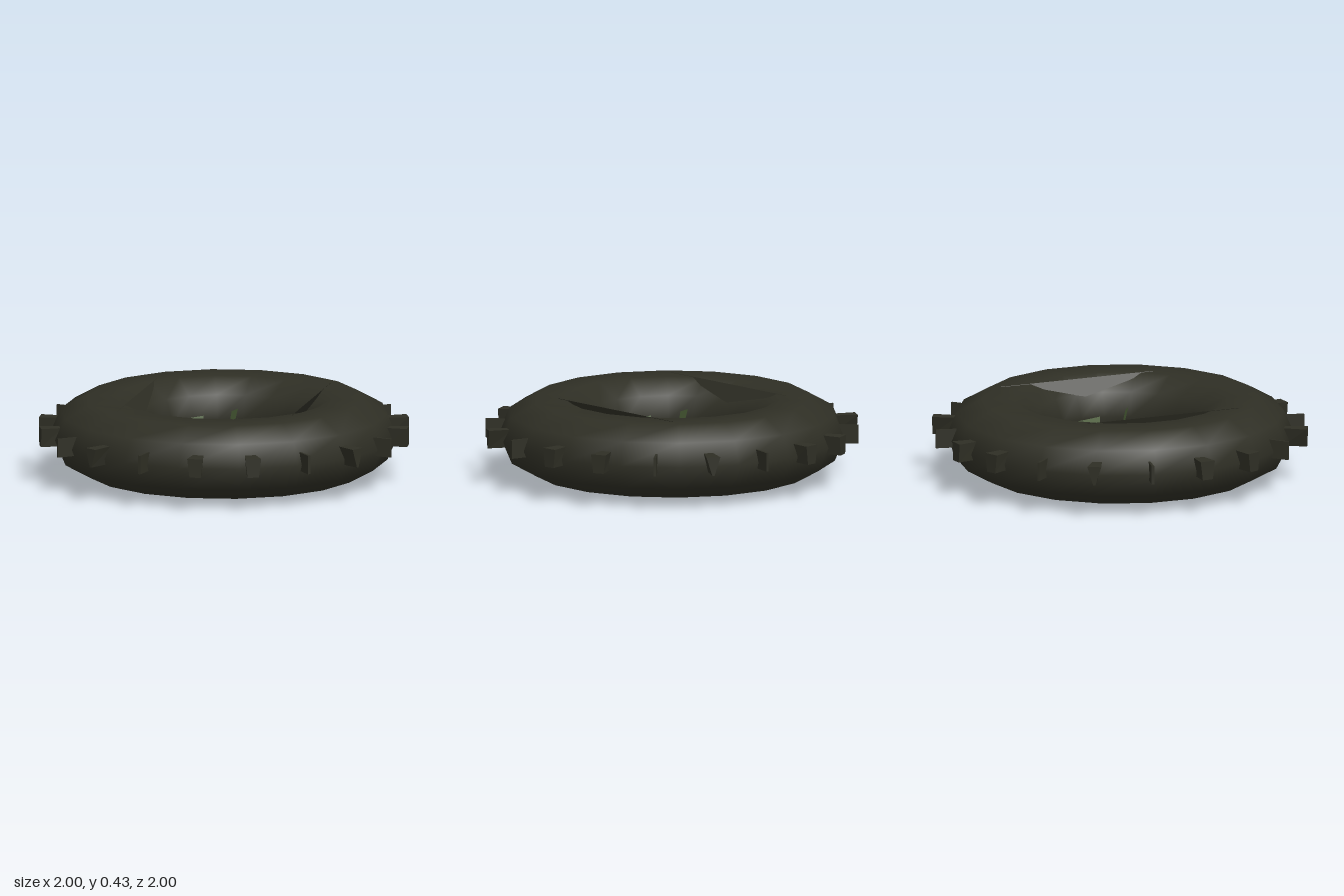
import * as THREE from 'three';

export function createModel() {
  const model = new THREE.Group();
  const rubber = new THREE.MeshStandardMaterial({ color: 0x2f2f25, side: THREE.DoubleSide });
  rubber.name = 'dark rubber';
  const earth = new THREE.MeshStandardMaterial({ color: 0x5a4635 });
  earth.name = 'brown soil';
  const green = new THREE.MeshStandardMaterial({ color: 0x4c6038, side: THREE.DoubleSide });
  green.name = 'leaf green';

  const add = (name, geometry, material, parent = model) => {
    const mesh = new THREE.Mesh(geometry, material);
    mesh.name = name;
    parent.add(mesh);
    return mesh;
  };

  // Tyre ring: a coarse torus, squashed in height
  const ring = new THREE.TorusGeometry(0.65, 0.27, 10, 18);
  ring.rotateX(Math.PI / 2).scale(1, 0.77, 1).translate(0, 0.23, 0);
  add('tyre', ring, rubber);

  // Two thin creases standing along chords of the upper face
  for (const s of [1, -1]) {
    const crease = new THREE.BufferGeometry();
    crease.setAttribute('position', new THREE.Float32BufferAttribute([
      -0.6 * s, 0.43, -0.1 * s,
      -0.14 * s, 0.43, 0.66 * s,
      -0.35 * s, 0.34, 0.23 * s,
    ], 3));
    crease.computeVertexNormals();
    add('sidewallCrease', crease, rubber);
  }

  // Tread lugs: wedges that narrow downwards and towards the ring
  function lugGeometry(topWidth, bottomWidth, inner, outer) {
    const g = new THREE.BoxGeometry(1, 0.1, 1);
    const p = g.attributes.position;
    for (let i = 0; i < p.count; i++) {
      const out = p.getZ(i) > 0;
      const width = (p.getY(i) > 0 ? topWidth : bottomWidth) * (out ? 1 : 0.65);
      p.setX(i, p.getX(i) * width);
      p.setZ(i, out ? outer : inner);
    }
    const flat = g.toNonIndexed();
    flat.computeVertexNormals();
    return flat;
  }
  const wide = lugGeometry(0.075, 0.012, 0.87, 1);
  const thin = lugGeometry(0.014, 0.014, 0.86, 0.99);
  const block = lugGeometry(0.085, 0.06, 0.87, 0.985);
  const lugs = new THREE.Group();
  lugs.name = 'treadLugs';
  model.add(lugs);
  for (let i = 0; i < 20; i++) {
    const kind = [wide, thin, block, block, thin][i % 5];
    const lug = add('treadLug', kind, rubber, lugs);
    lug.position.y = 0.247;
    lug.rotation.y = (i / 20) * Math.PI * 2;
  }

  // Soil mound: a flattened eight-sided dome, rounded above and below
  const profile = [[0, 0], [0.2, 0.022], [0.32, 0.055], [0.39, 0.11], [0.32, 0.16], [0.2, 0.19], [0, 0.205]]
    .map(([r, y]) => new THREE.Vector2(r, y));
  add('soil', new THREE.LatheGeometry(profile, 8, Math.PI / 8), earth);

  // Three upright leaves around the middle of the mound
  for (let i = 0; i < 3; i++) {
    const shape = new THREE.Shape([[-0.06, 0], [0.05, 0], [0.07, 0.125], [-0.07, 0.14]]
      .map(([x, y]) => new THREE.Vector2(x, y)));
    const leafGeometry = new THREE.ShapeGeometry(shape);
    leafGeometry.rotateX(0.2).translate(0.18, 0.195, -0.015);
    const leaf = add('leaf', leafGeometry, green);
    leaf.rotation.y = (i * Math.PI * 2) / 3;
  }

  return model;
}
